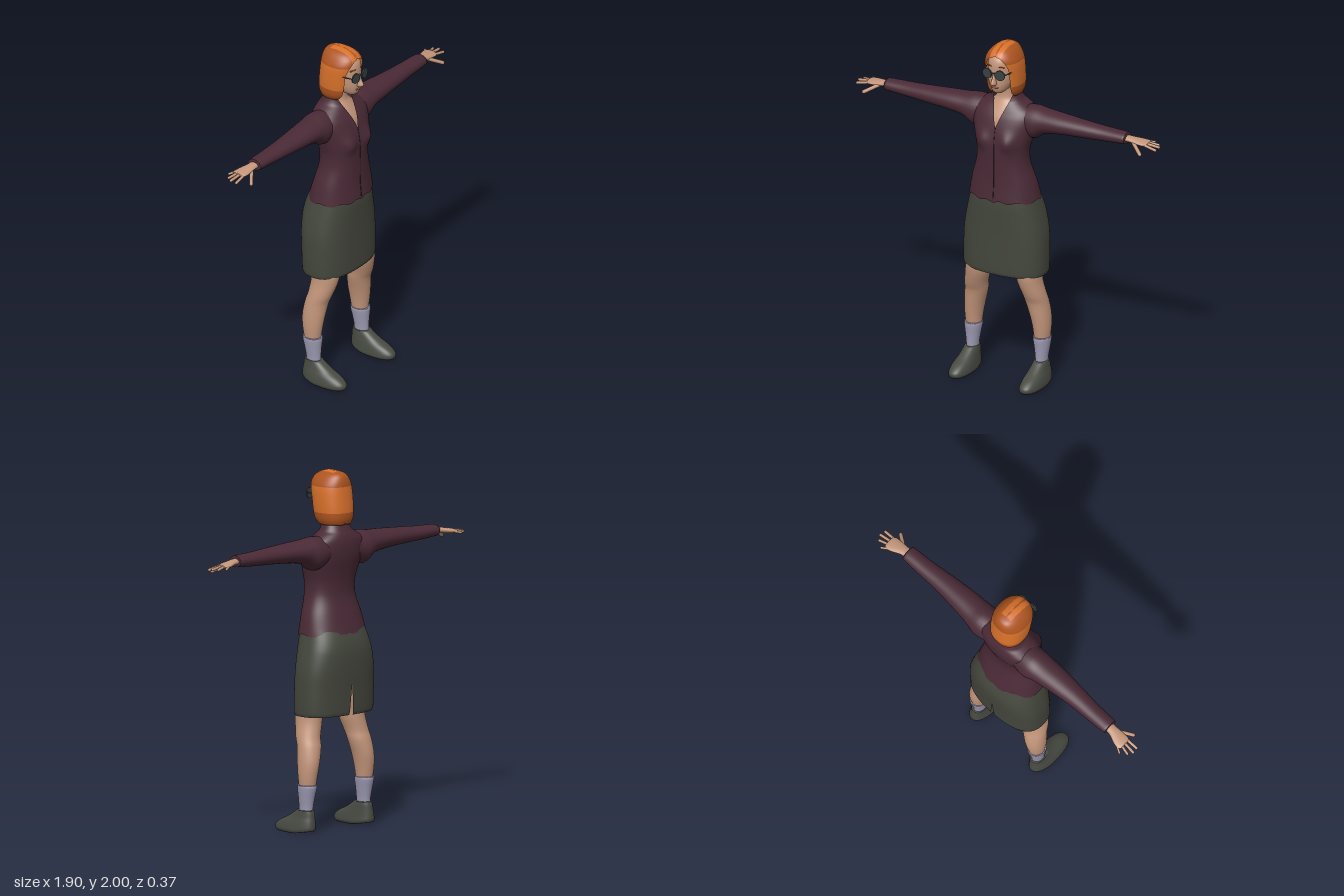
import * as THREE from 'three';

const colour = (name, hex, side = THREE.FrontSide) => {
  const m = new THREE.MeshStandardMaterial({ color: hex, side });
  m.name = name;
  return m;
};

// Smoothly interpolates a table of rows whose first entry is the position along the axis.
function smoothRows(rows, sub) {
  const slope = (i, k) => {
    const p = rows[Math.max(i - 1, 0)], q = rows[Math.min(i + 1, rows.length - 1)];
    return (q[k] - p[k]) / (q[0] - p[0]);
  };
  const out = [];
  for (let i = 0; i < rows.length - 1; i++) {
    const A = rows[i], B = rows[i + 1], d = B[0] - A[0];
    for (let s = 0; s < sub; s++) {
      const t = s / sub, t2 = t * t, t3 = t2 * t;
      out.push(A.map((a, k) => k === 0 ? a + d * t
        : (2 * t3 - 3 * t2 + 1) * a + (t3 - 2 * t2 + t) * d * slope(i, k)
        + (3 * t2 - 2 * t3) * B[k] + (t3 - t2) * d * slope(i + 1, k)));
    }
  }
  out.push(rows[rows.length - 1]);
  return out;
}

// Lofts rows of [position, side centre, side radius, low, high] along y (side x, low/high z)
// or along x (side z, low/high y). gap(position) opens the ring at its high (or low) point.
function loft(rows, o = {}) {
  const { axis = 'y', n = 40, pow = 2, sub = 4, gap = () => 0, back = false, caps = true, shape, pick } = o;
  const pos = [], tris = [], e = 2 / pow, w = n + 1;
  const bend = v => Math.sign(v) * Math.abs(v) ** e;
  const put = (t, a, b) => {
    const v = axis === 'y' ? new THREE.Vector3(a, t, b) : new THREE.Vector3(t, b, a);
    if (shape) shape(v);
    pos.push(v.x, v.y, v.z);
  };
  const rings = smoothRows(rows, sub);
  for (const [t, c, r, lo, hi] of rings) {
    const d = Math.asin(Math.min(1, (gap(t) / r) ** (1 / e)));
    for (let j = 0; j <= n; j++) {
      const f = d + (2 * Math.PI - 2 * d) * j / n + (back ? Math.PI : 0);
      put(t, c + r * bend(Math.sin(f)), (lo + hi) / 2 + (hi - lo) / 2 * bend(Math.cos(f)));
    }
  }
  for (let i = 0; i < rings.length - 1; i++) for (let j = 0; j < n; j++) {
    const a = i * w + j;
    tris.push([a, a + 1, a + w], [a + 1, a + w + 1, a + w]);
  }
  if (caps) [0, rings.length - 1].forEach((i, end) => {
    const [t, c, , lo, hi] = rings[i], centre = pos.length / 3;
    put(t, c, (lo + hi) / 2);
    for (let j = 0; j < n; j++) {
      const a = i * w + j;
      tris.push(end ? [centre, a, a + 1] : [centre, a + 1, a]);
    }
  });
  const g = new THREE.BufferGeometry();
  g.setAttribute('position', new THREE.Float32BufferAttribute(pos, 3));
  if (pick) {
    const lists = [[], []], mid = (t, k) => (pos[t[0] * 3 + k] + pos[t[1] * 3 + k] + pos[t[2] * 3 + k]) / 3;
    for (const t of tris) lists[pick(mid(t, 0), mid(t, 1), mid(t, 2))].push(...t);
    g.setIndex(lists.flat());
    g.addGroup(0, lists[0].length, 0);
    g.addGroup(lists[0].length, lists[1].length, 1);
  } else g.setIndex(tris.flat());
  g.computeVertexNormals();
  // Blend the normals where a ring closes on itself
  const N = g.attributes.normal, P = g.attributes.position;
  const u = new THREE.Vector3(), v = new THREE.Vector3();
  for (let i = 0; i < rings.length; i++) {
    const a = i * w, b = a + n;
    if (u.fromBufferAttribute(P, a).distanceTo(v.fromBufferAttribute(P, b)) > 1e-4) continue;
    u.fromBufferAttribute(N, a).add(v.fromBufferAttribute(N, b)).normalize();
    N.setXYZ(a, u.x, u.y, u.z);
    N.setXYZ(b, u.x, u.y, u.z);
  }
  return g;
}

// Mirrored copy across x with the corner order restored.
function mirror(geo) {
  const g = geo.clone().scale(-1, 1, 1), ix = g.index.array;
  for (let i = 0; i < ix.length; i += 3) [ix[i], ix[i + 1]] = [ix[i + 1], ix[i]];
  return g;
}

// Rounded rod between two points.
function rod(p, q, r) {
  const a = new THREE.Vector3(...p), d = new THREE.Vector3(...q).sub(a), len = d.length();
  const turn = new THREE.Quaternion().setFromUnitVectors(new THREE.Vector3(0, 1, 0), d.clone().normalize());
  return new THREE.CapsuleGeometry(r, len, 4, 10).applyQuaternion(turn).translate(...a.addScaledVector(d, 0.5).toArray());
}

export function createModel() {
  const root = new THREE.Group();
  root.name = 'woman';
  const skin = colour('skin', 0xc4967b);
  const jacketCloth = colour('plum jacket', 0x4a2a36, THREE.DoubleSide);
  const seamDark = colour('dark seam', 0x2c1a20);
  const skirtCloth = colour('grey green skirt', 0x44473d, THREE.DoubleSide);
  const sockCloth = colour('lavender sock', 0x9d9ab2);
  const shoeLeather = colour('shoe leather', 0x484a43);
  const hairDark = colour('dark ginger', 0xad541f, THREE.DoubleSide);
  const hairLight = colour('light ginger', 0xd8712b, THREE.DoubleSide);
  const lensDark = colour('dark lens', 0x394244);
  const lipRose = colour('lip rose', 0xa4695a);

  const add = (name, geo, mat) => {
    const m = new THREE.Mesh(geo, mat);
    m.name = name;
    root.add(m);
  };
  const pair = (name, geo, mat) => {
    add('left' + name, geo, mat);
    add('right' + name, mirror(geo), mat);
  };

  // Jacket body, open in a V at the neck, with bust and wavy hem
  add('jacket', loft([
    [1.097, 0, .207, -.16, .13], [1.2, 0, .186, -.132, .121], [1.3, 0, .156, -.107, .119],
    [1.38, 0, .151, -.108, .12], [1.45, 0, .166, -.12, .117], [1.52, 0, .185, -.135, .106],
    [1.58, 0, .192, -.14, .086], [1.62, 0, .175, -.138, .064], [1.65, 0, .13, -.13, .045],
    [1.67, 0, .098, -.12, .034], [1.715, 0, .077, -.1, .024],
  ], {
    n: 72, pow: 2.25, caps: false, gap: y => Math.max(0, y - 1.53) * .34,
    shape: v => {
      if (v.z > 0) v.z += .024 * Math.exp(-(((Math.abs(v.x) - .08) / .045) ** 2) - ((v.y - 1.45) / .05) ** 2);
      if (v.y < 1.12) v.y += .006 * Math.cos(10 * Math.atan2(v.x, v.z) + Math.PI);
    },
  }), jacketCloth);
  const seam = new THREE.CatmullRomCurve3([[1.1, .13], [1.2, .121], [1.3, .119], [1.38, .12], [1.45, .118], [1.53, .104]]
    .map(([y, z]) => new THREE.Vector3(0, y, z)));
  add('frontSeam', new THREE.TubeGeometry(seam, 24, .0022, 6), seamDark);

  // Sleeves and hands
  pair('Sleeve', loft([
    [.08, -.04, .08, 1.5, 1.64], [.18, -.04, .092, 1.46, 1.65], [.25, -.037, .083, 1.503, 1.641],
    [.35, -.033, .074, 1.521, 1.635], [.5, -.032, .06, 1.531, 1.625], [.62, -.036, .052, 1.537, 1.617],
    [.74, -.037, .047, 1.545, 1.612], [.755, -.037, .044, 1.547, 1.61],
  ], { axis: 'x', n: 32 }), jacketCloth);
  pair('Palm', loft([
    [.73, -.038, .028, 1.56, 1.597], [.78, -.041, .03, 1.56, 1.592], [.83, -.05, .041, 1.554, 1.584],
    [.865, -.054, .043, 1.553, 1.578], [.88, -.055, .032, 1.558, 1.574],
  ], { axis: 'x', n: 24 }), skin);
  [
    ['Thumb', [.8, 1.567, -.022], [.868, 1.53, .028], .011],
    ['IndexFinger', [.86, 1.566, -.025], [.937, 1.55, -.022], .0085],
    ['MiddleFinger', [.86, 1.567, -.047], [.942, 1.556, -.055], .0085],
    ['RingFinger', [.86, 1.567, -.067], [.925, 1.556, -.083], .008],
    ['LittleFinger', [.845, 1.566, -.083], [.888, 1.557, -.108], .007],
  ].forEach(([name, p, q, r]) => pair(name, rod(p, q, r), skin));

  // Skirt shell with a slit at the back hem
  add('skirt', loft([
    [.65, 0, .244, -.165, .112], [.67, 0, .249, -.17, .116], [.8, 0, .249, -.176, .116], [.9, 0, .243, -.183, .116],
    [1, 0, .224, -.184, .118], [1.07, 0, .206, -.17, .119], [1.15, 0, .185, -.138, .112],
  ], { n: 64, pow: 2.5, back: true, gap: y => Math.max(0, .84 - y) * .07, caps: false }), skirtCloth);

  // Legs, socks and shoes
  pair('Leg', loft([
    [.25, .215, .043, -.092, .003], [.33, .213, .052, -.105, .014], [.4, .205, .059, -.11, .024],
    [.48, .19, .066, -.1, .036], [.53, .182, .066, -.087, .056], [.6, .165, .069, -.08, .078],
    [.65, .158, .071, -.08, .087], [.8, .13, .09, -.09, .092], [.95, .1, .095, -.1, .09],
  ], { n: 32 }), skin);
  pair('Sock', loft([
    [.09, .217, .034, -.08, .01], [.14, .217, .034, -.08, .008], [.2, .217, .042, -.09, .01],
    [.255, .216, .05, -.102, .015], [.27, .216, .049, -.1, .013],
  ], { n: 32 }), sockCloth);
  pair('Shoe', loft([
    [0, .222, .054, -.096, .178], [.014, .222, .06, -.1, .188], [.035, .222, .058, -.1, .183], [.06, .221, .053, -.098, .15],
    [.085, .219, .046, -.095, .095], [.11, .218, .041, -.092, .05], [.13, .218, .037, -.087, .02],
  ], { n: 40, pow: 2.3, shape: v => { v.y += Math.max(0, -v.z) * .17 * (1 - v.y / .13); } }), shoeLeather);

  // Neck and upper chest
  add('neck', loft([
    [1.48, 0, .12, -.09, .098], [1.53, 0, .125, -.1, .09], [1.58, 0, .13, -.1, .076], [1.62, 0, .115, -.1, .054],
    [1.65, 0, .085, -.095, .036], [1.68, 0, .06, -.085, .02], [1.72, 0, .055, -.077, .018], [1.79, 0, .055, -.075, .03],
  ], { n: 40 }), skin);

  // Head and face details
  add('head', loft([
    [1.735, 0, .026, .015, .088], [1.745, 0, .038, -.01, .098], [1.765, 0, .054, -.045, .107], [1.8, 0, .068, -.07, .112],
    [1.86, 0, .077, -.09, .111], [1.92, 0, .075, -.09, .107], [1.955, 0, .055, -.07, .085], [1.972, 0, .025, -.03, .045],
  ], { n: 48, pow: 2.1 }), skin);
  add('nose', loft([
    [1.79, 0, .006, .1, .118], [1.796, 0, .014, .095, .134], [1.808, 0, .015, .095, .143],
    [1.83, 0, .01, .095, .134], [1.868, 0, .008, .095, .115],
  ], { n: 20 }), skin);
  add('lips', new THREE.SphereGeometry(1, 20, 10).scale(.024, .0065, .009).translate(0, 1.776, .105), lipRose);
  pair('Eyebrow', new THREE.BoxGeometry(.036, .006, .006).rotateY(.35).rotateZ(-.08).translate(.038, 1.9, .1), hairDark);

  // Round glasses
  pair('Lens', new THREE.CylinderGeometry(.03, .03, .007, 14).rotateX(Math.PI / 2).rotateY(.15).translate(.04, 1.86, .121), lensDark);
  add('glassesBridge', new THREE.BoxGeometry(.03, .006, .006).translate(0, 1.865, .122), lensDark);
  pair('GlassesArm', rod([.07, 1.866, .115], [.085, 1.866, .045], .003), lensDark);

  // Bob of hair, open over the face, in two tones with light streaks beside the parting
  const light = (x, y, z) => (y > 1.772 && y < 1.916)
    || (y >= 1.916 && Math.abs(x) < .036 && Math.abs(x) > .005 && z > -.06);
  add('hair', loft([
    [1.705, 0, .086, -.122, .05], [1.735, 0, .099, -.132, .072], [1.772, 0, .104, -.134, .082], [1.84, 0, .106, -.129, .092],
    [1.916, 0, .101, -.122, .107], [1.95, 0, .086, -.117, .103], [1.975, 0, .066, -.106, .083],
    [1.99, 0, .044, -.085, .055], [2, 0, .014, -.04, .02],
  ], {
    n: 80, pow: 2.3, sub: 6, caps: true, pick: (x, y, z) => +light(x, y, z),
    gap: y => y < 1.86 ? .072 : y < 1.955 ? .072 * Math.sqrt(1 - ((y - 1.86) / .095) ** 2) : 0,
    shape: v => { if (v.y < 1.71 && Math.abs(v.x) < 1e-6) v.y = 1.74; },
  }), [hairDark, hairLight]);

  return root;
}
